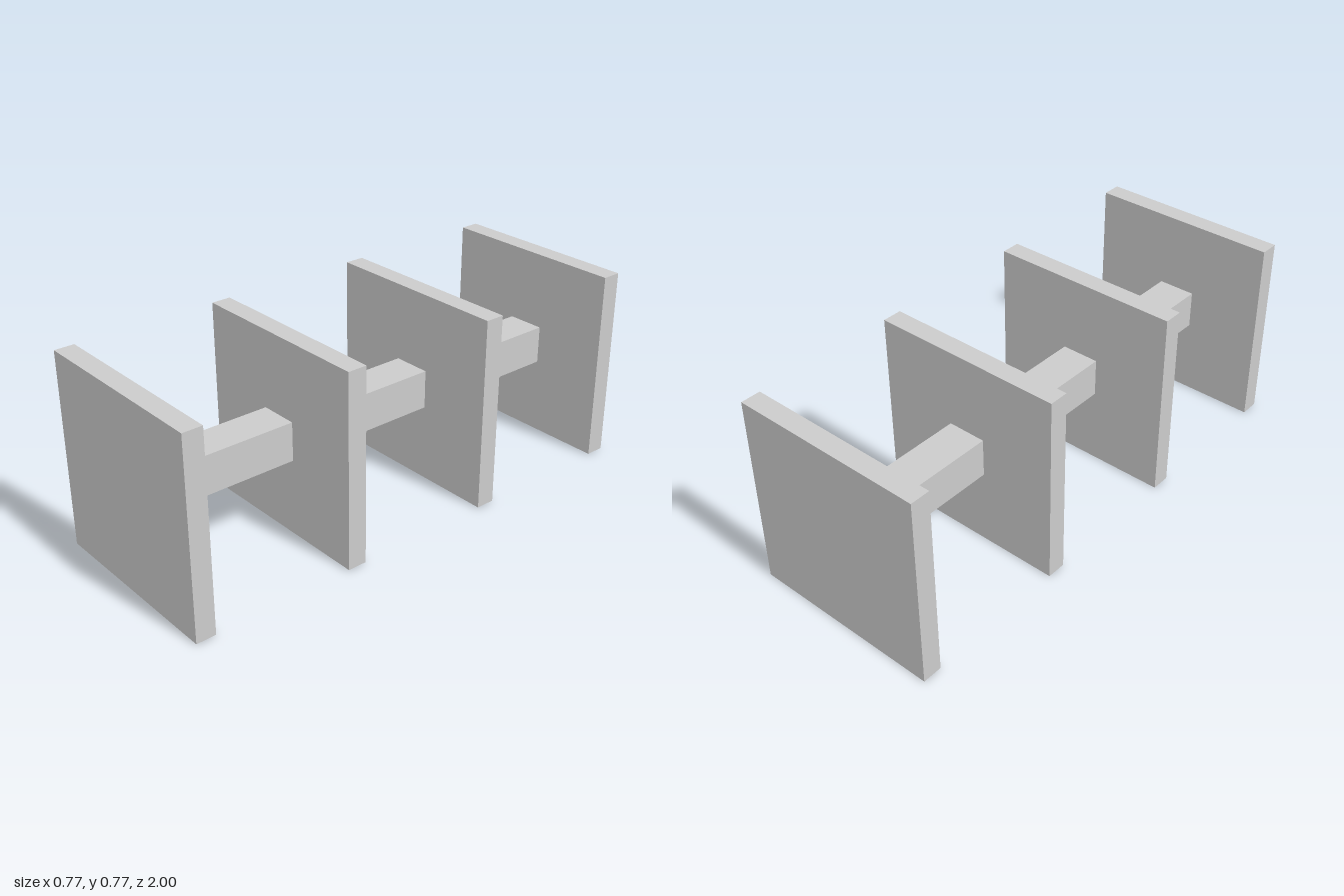
import * as THREE from 'three';

const PLATE = 0.769;      // side of each square plate
const THICK = 0.077;      // plate thickness
const BAR = 0.154;        // side of the square connecting bar
const COUNT = 4;
const PITCH = (2 - THICK) / (COUNT - 1);

export function createModel() {
  const model = new THREE.Group();
  model.name = 'platesOnBar';
  const material = new THREE.MeshStandardMaterial({ color: 0xcccccc, flatShading: true });

  function addBox(name, width, height, depth, z) {
    const mesh = new THREE.Mesh(new THREE.BoxGeometry(width, height, depth), material);
    mesh.name = name;
    mesh.position.set(0, PLATE / 2, z);
    model.add(mesh);
  }

  for (let i = 0; i < COUNT; i++) {
    // Square plates, evenly spaced from back to front
    const z = -1 + THICK / 2 + i * PITCH;
    addBox(`plate${i + 1}`, PLATE, PLATE, THICK, z);

    // Bar section bridging the gap to the next plate
    if (i < COUNT - 1) addBox(`bar${i + 1}`, BAR, BAR, PITCH - THICK, z + PITCH / 2);
  }

  return model;
}
